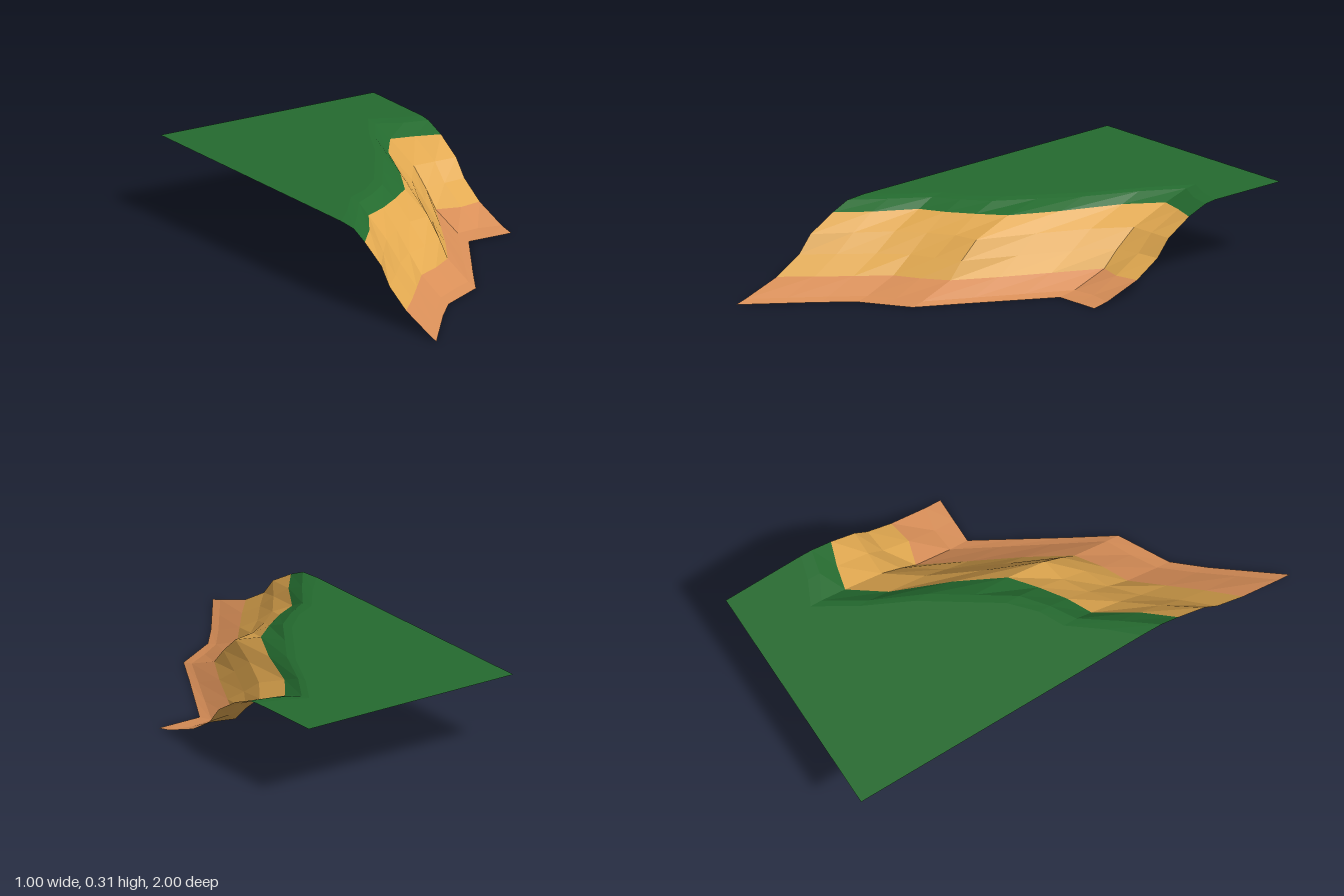
import * as THREE from 'three';

// Height contours of the slope: y, then z at x = -0.5, -0.4 ... 0.5
const contours = [
  { y: 0, z: [1, 0.87, 0.74, 0.625, 0.57, 0.515, 0.34, 0.17, 0, 0, 0] },
  { y: 0.013, z: [0.95, 0.82, 0.69, 0.57, 0.51, 0.46, 0.28, 0.1, -0.08, -0.09, -0.07] },
  { y: 0.068, z: [0.78, 0.67, 0.55, 0.43, 0.38, 0.31, 0.14, -0.05, -0.24, -0.21, -0.23] },
  { y: 0.135, z: [0.66, 0.55, 0.43, 0.34, 0.3, 0.25, 0.04, -0.16, -0.31, -0.33, -0.34] },
  { y: 0.205, z: [0.6, 0.46, 0.33, 0.25, 0.19, 0.17, -0.06, -0.26, -0.4, -0.4, -0.4] },
  { y: 0.27, z: [0.48, 0.36, 0.2, 0.15, 0.08, 0, -0.19, -0.43, -0.57, -0.545, -0.51] },
  { y: 0.304, z: [0.4, 0.27, 0.13, 0.07, -0.01, -0.16, -0.31, -0.52, -0.68, -0.625, -0.6] },
  { y: 0.31, z: [0.31, 0.2, 0.07, 0.02, -0.07, -0.22, -0.37, -0.57, -0.73, -0.68, -0.65] },
  { y: 0.31, z: Array(11).fill(-1) },
];

// Faceted sheet joining contours first..last
function band(name, first, last, material) {
  const positions = [];
  const point = (row, col) => [(col - 5) / 10, contours[row].y, contours[row].z[col]];
  for (let row = first; row < last; row++) {
    for (let col = 0; col < 10; col++) {
      const a = point(row, col), b = point(row, col + 1);
      const c = point(row + 1, col + 1), d = point(row + 1, col);
      positions.push(...a, ...b, ...c, ...a, ...c, ...d);
    }
  }
  const geometry = new THREE.BufferGeometry();
  geometry.setAttribute('position', new THREE.Float32BufferAttribute(positions, 3));
  geometry.computeVertexNormals();
  const mesh = new THREE.Mesh(geometry, material);
  mesh.name = name;
  return mesh;
}

function paint(name, color) {
  const material = new THREE.MeshStandardMaterial({ color, flatShading: true, side: THREE.DoubleSide });
  material.name = name;
  return material;
}

export function createModel() {
  const group = new THREE.Group();
  group.name = 'grassyCliff';
  group.add(
    band('cliffFoot', 0, 2, paint('clay', 0xd98f58)),
    band('cliffFace', 2, 5, paint('sand', 0xe2a950)),
    band('grassTop', 5, 8, paint('grass', 0x246b2f)),
  );
  return group;
}
